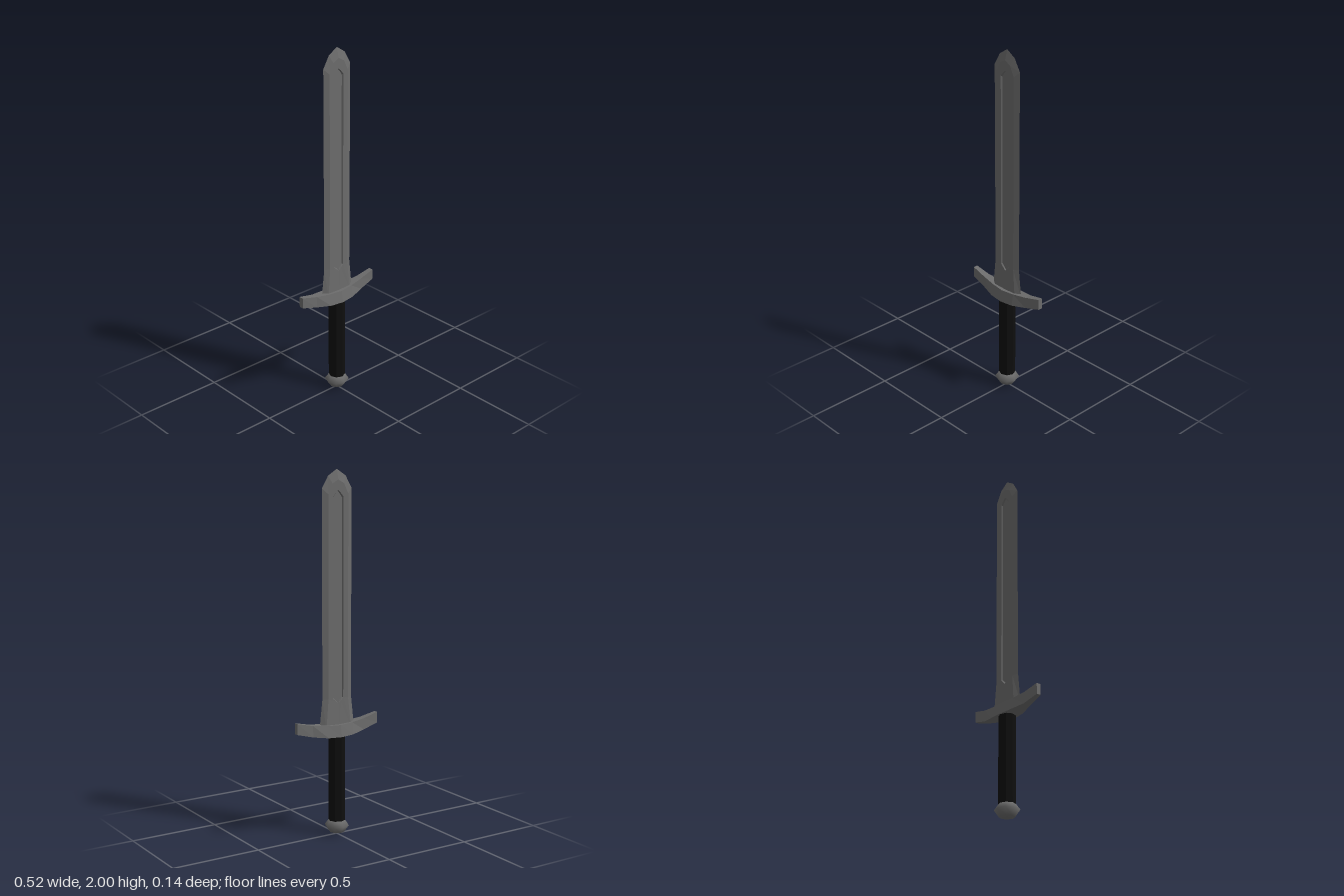
import * as THREE from 'three';

const steel = new THREE.MeshStandardMaterial({ color: 0x6c6c6c, flatShading: true });
const pommelSteel = new THREE.MeshStandardMaterial({ color: 0x6c6c6c });
const leather = new THREE.MeshStandardMaterial({ color: 0x0e0e0e, flatShading: true });

// Skins a row of equal-length point loops and caps the last (and optionally first) one.
function loft(loops, capStart) {
  const out = [];
  const tri = (...pts) => pts.forEach((p) => out.push(...p));
  const centre = (loop) => [0, 1, 2].map((k) => loop.reduce((s, p) => s + p[k], 0) / loop.length);
  const first = loops[0];
  const last = loops[loops.length - 1];
  const n = first.length;
  for (let i = 0; i < n; i++) {
    const j = (i + 1) % n;
    for (let k = 0; k < loops.length - 1; k++) {
      const a = loops[k];
      const b = loops[k + 1];
      tri(a[i], a[j], b[j]);
      tri(a[i], b[j], b[i]);
    }
    tri(last[i], last[j], centre(last));
    if (capStart) tri(first[j], first[i], centre(first));
  }
  const geometry = new THREE.BufferGeometry();
  geometry.setAttribute('position', new THREE.Float32BufferAttribute(out, 3));
  geometry.computeVertexNormals();
  return geometry;
}

// Closes a half outline (bottom centre to top centre) by mirroring it in x.
function mirrorLoop(half) {
  const other = half.slice(1, -1).reverse().map(([x, y, z]) => [-x, y, z]);
  return [...half, ...other];
}

function part(name, geometry, material) {
  const mesh = new THREE.Mesh(geometry, material);
  mesh.name = name;
  return mesh;
}

// Double-edged blade: cutting edge, bevel, then a sunken groove on each face.
function createBlade() {
  const edge = [[0, 0.6, 0], [0.112, 0.6, 0], [0.093, 0.77, 0], [0.093, 1.9, 0], [0.055, 1.965, 0], [0, 2, 0]];
  const bevel = [[0, 0.6, 0.02], [0.08, 0.6, 0.02], [0.063, 0.77, 0.015], [0.063, 1.87, 0.015],
    [0.036, 1.925, 0.015], [0, 1.945, 0.015]];
  const groove = (w, inset, z) => [[0, 0.74 + inset, z], [w / 2, 0.755 + inset, z], [w, 0.77 + inset, z],
    [w, 1.855 - inset, z], [w / 2, 1.875 - inset, z], [0, 1.89 - inset, z]];
  const half = loft([edge, bevel, groove(0.032, 0, 0.015), groove(0.027, 0.004, 0.008)].map(mirrorLoop), false);
  const blade = new THREE.Group();
  blade.name = 'blade';
  const front = part('bladeFront', half, steel);
  const back = part('bladeBack', half, steel);
  back.rotation.y = Math.PI;
  blade.add(front, back);
  return blade;
}

// Upswept guard, widest in the middle; stations: x, bottom y, top y, bottom half depth, top half depth.
function createGuard() {
  const half = [
    [0, 0.56, 0.625, 0.052, 0.04],
    [0.08, 0.563, 0.628, 0.044, 0.031],
    [0.165, 0.575, 0.638, 0.022, 0.02],
    [0.26, 0.6, 0.66, 0.013, 0.013],
  ];
  const stations = [...half.slice(1).reverse().map(([x, ...rest]) => [-x, ...rest]), ...half];
  const loops = stations.map(([x, yb, yt, zb, zt]) => [[x, yb, zb], [x, yb, -zb], [x, yt, -zt], [x, yt, zt]]);
  return part('guard', loft(loops, true), steel);
}

export function createModel() {
  const sword = new THREE.Group();
  sword.name = 'sword';

  const grip = part('grip', new THREE.CylinderGeometry(0.046, 0.046, 0.51, 8), leather);
  grip.position.y = 0.315;

  // Faceted round pommel.
  const profile = [[0, 0], [0.042, 0.013], [0.068, 0.05], [0.044, 0.083], [0, 0.085]];
  const pommel = part('pommel',
    new THREE.LatheGeometry(profile.map(([r, y]) => new THREE.Vector2(r, y)), 8), pommelSteel);

  sword.add(createBlade(), createGuard(), grip, pommel);
  return sword;
}
